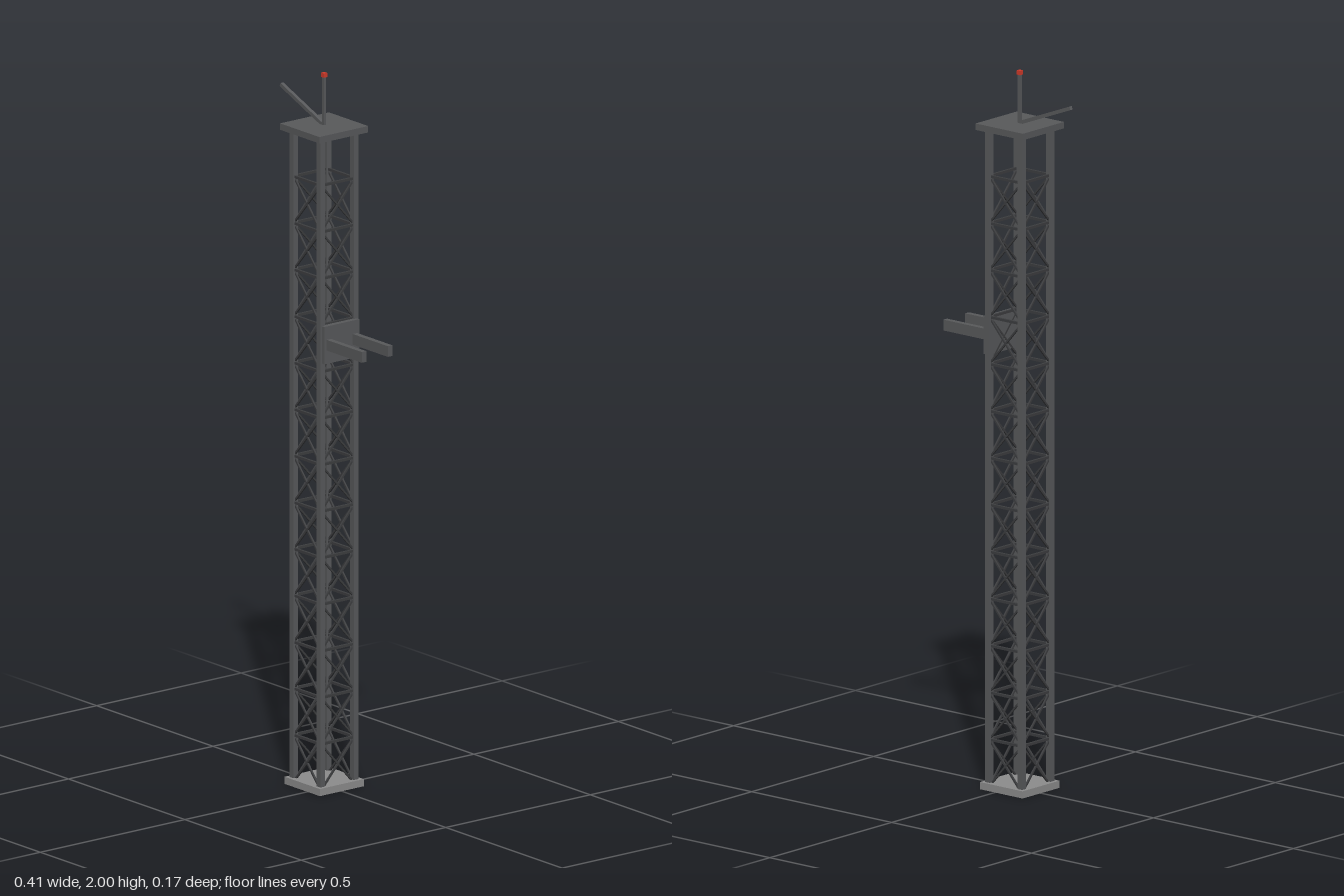
import * as THREE from 'three';

const mat = (name, color) => {
  const m = new THREE.MeshStandardMaterial({ color });
  m.name = name;
  return m;
};

export function createModel() {
  const steel = mat('steel grey', 0x58595b);
  const dark = mat('dark brace grey', 0x3c3d3f);
  const concrete = mat('concrete grey', 0x8c8c8c);
  const red = mat('beacon red', 0xd03a2a);

  const model = new THREE.Group();
  model.name = 'latticeTower';
  const tower = new THREE.Group(); // tower axis sits left of the origin
  tower.name = 'tower';
  tower.position.x = -0.0225;
  model.add(tower);

  const box = (name, parent, material, size, pos) => {
    const mesh = new THREE.Mesh(new THREE.BoxGeometry(...size), material);
    mesh.name = name;
    mesh.position.set(...pos);
    parent.add(mesh);
    return mesh;
  };
  // Square bar between two points in an xy plane
  const bar = (name, parent, material, x1, y1, x2, y2, z, t) => {
    const mesh = box(name, parent, material, [Math.hypot(x2 - x1, y2 - y1), t, t],
      [(x1 + x2) / 2, (y1 + y2) / 2, z]);
    mesh.rotation.z = Math.atan2(y2 - y1, x2 - x1);
    return mesh;
  };

  // Base and top platform
  box('base', tower, concrete, [0.152, 0.02, 0.152], [0, 0.01, 0]);
  box('topPlatform', tower, steel, [0.169, 0.018, 0.169], [0, 1.845, 0]);

  // Corner legs
  const r = 0.058;
  for (const sx of [-1, 1])
    for (const sz of [-1, 1])
      box('leg', tower, steel, [0.016, 1.82, 0.016], [sx * r, 0.928, sz * r]);

  // Lattice on the four sides; the uppermost bay stays open
  const bays = 13, step = 0.1307, y0 = 0.008;
  for (let side = 0; side < 4; side++) {
    const lattice = new THREE.Group();
    lattice.name = 'latticeSide';
    lattice.rotation.y = side * Math.PI / 2;
    tower.add(lattice);
    for (let i = 0; i < bays; i++) {
      const a = y0 + i * step, b = a + step;
      bar('crossBar', lattice, dark, -r, b, r, b, r, 0.007);
      bar('brace', lattice, dark, -r, a, r, b, r, 0.005);
      bar('brace', lattice, dark, -r, b, r, a, r, 0.005);
    }
  }

  // Side bracket with two arms
  box('bracketPlate', model, steel, [0.02, 0.105, 0.122], [0.044, 1.262, 0]);
  for (const s of [-1, 1])
    box('bracketArm', model, steel, [0.155, 0.03, 0.0155], [0.1275, 1.262, s * 0.045]);

  // Mast with beacon, and the slanted boom
  box('mast', tower, steel, [0.008, 0.138, 0.008], [0, 1.921, 0]);
  box('beacon', tower, red, [0.012, 0.012, 0.012], [0, 1.994, 0]);
  bar('boom', tower, steel, 0, 1.854, -0.183, 1.926, 0, 0.01);

  return model;
}
